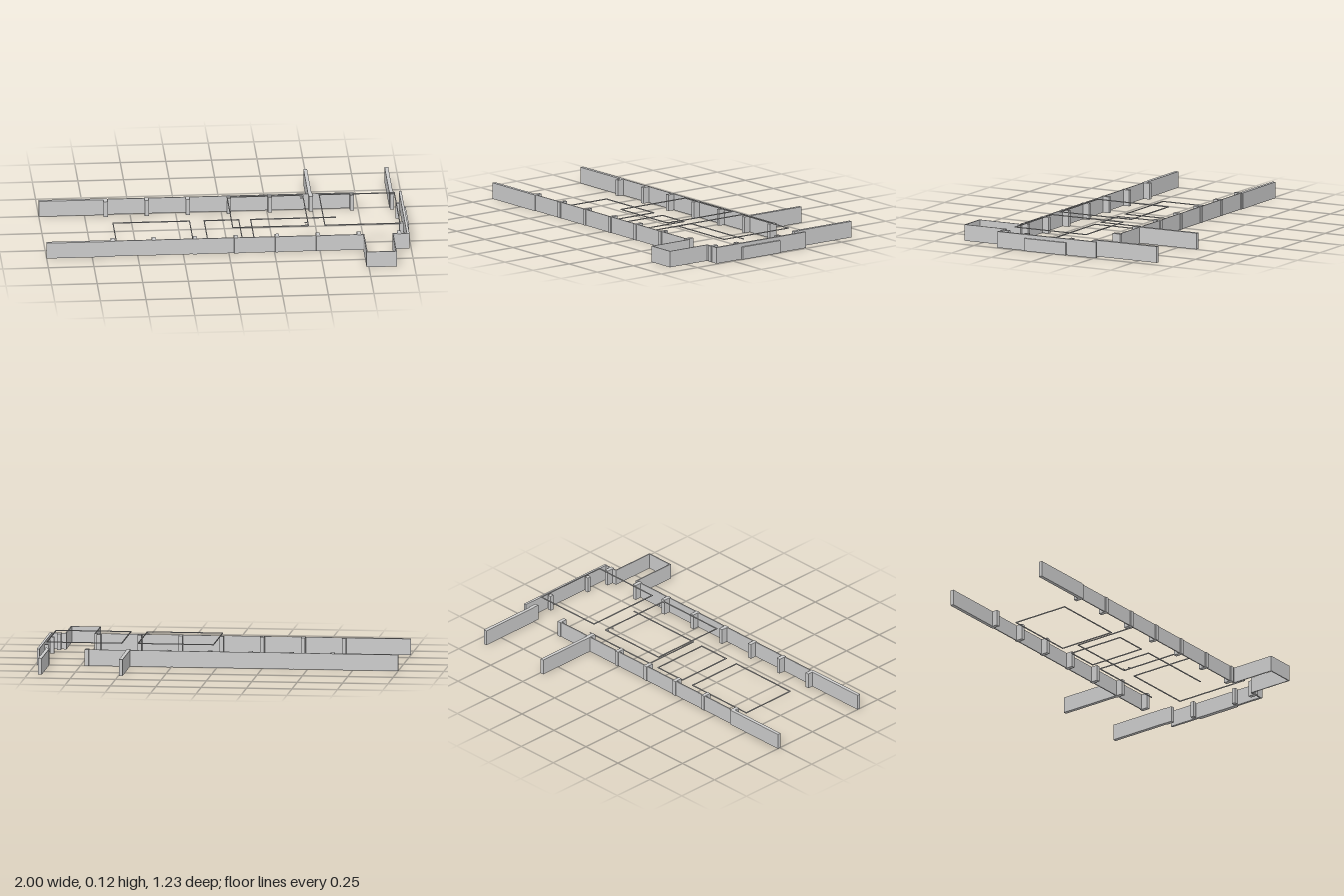
import * as THREE from 'three';

const H = 0.09; // wall height
const T = 0.006; // thin panel thickness
const L = 0.005; // marking line width

export function createModel() {
  const root = new THREE.Group();
  const mat = new THREE.MeshStandardMaterial({ color: 0xcccccc });

  // Box given by its limits on each axis
  function box(name, x0, x1, y0, y1, z0, z1, parent = root) {
    const mesh = new THREE.Mesh(new THREE.BoxGeometry(x1 - x0, y1 - y0, z1 - z0), mat);
    mesh.name = name;
    mesh.position.set((x0 + x1) / 2, (y0 + y1) / 2, (z0 + z1) / 2);
    parent.add(mesh);
  }
  // Upright panel along x or along z
  const wallX = (name, x0, x1, z, t = T) => box(name, x0, x1, 0, H, z - t / 2, z + t / 2);
  const wallZ = (name, x, z0, z1, t = T) => box(name, x - t / 2, x + t / 2, 0, H, z0, z1);

  // Rectangular outline of thin bars, optionally open towards +x
  function outline(name, x0, x1, z0, z1, y, open = false) {
    const g = new THREE.Group();
    g.name = name;
    box('backBar', x0, x1, y, y + L, z0, z0 + L, g);
    box('frontBar', x0, x1, y, y + L, z1 - L, z1, g);
    box('rightBar', x0, x0 + L, y, y + L, z0 + L, z1 - L, g);
    if (!open) box('leftBar', x1 - L, x1, y, y + L, z0 + L, z1 - L, g);
    root.add(g);
  }

  // Long walls: thick end section, then a row of thin panels
  const posts = Array.from({ length: 7 }, (_, i) => -0.635 + i * 0.225);
  for (const [side, z] of [['back', -0.255], ['front', 0.355]]) {
    wallX(side + 'EndWall', -1, -0.635, z, 0.02);
    for (let i = 0; i < 6; i++) wallX(side + 'Panel', posts[i], posts[i + 1], z);

    // Posts along the inner face
    const inward = z < 0 ? 1 : -1;
    for (const x of [...posts, 0.935]) {
      const a = z - inward * 0.008, b = z + inward * 0.04;
      box(side + 'Post', x - 0.011, x + 0.011, 0, H, Math.min(a, b), Math.max(a, b));
    }
  }

  // Wing walls at the back
  for (const x of [0.487, 0.932]) wallZ('wingWall', x, -0.615, -0.255, 0.02);

  // Alcove at the front
  wallX('alcoveJoinPanel', 0.715, 0.743, 0.355);
  wallZ('alcoveSideWall', 0.74, 0.355, 0.615);
  wallX('alcoveFrontWall', 0.737, 0.903, 0.612);
  wallZ('alcoveSideWall', 0.9, 0.355, 0.615);
  wallX('cornerPanel', 0.897, 0.98, 0.355);

  // End wall with its raised panel and posts
  wallZ('endWall', 0.983, -0.26, 0.36, 0.014);
  box('endWallPanel', 0.99, 1, 0, 0.07, -0.075, 0.185);
  for (const z of [-0.09, 0.195]) box('endPost', 0.945, 0.967, 0, H, z - 0.011, z + 0.011);

  // Outlines on the ground
  outline('groundOutline', -0.605, -0.18, -0.12, 0.22, 0);
  outline('smallGroundOutline', -0.105, 0.09, -0.12, 0.22, 0);
  outline('openGroundOutline', 0.15, 0.62, -0.12, 0.22, 0, true);

  // Raised outlines, the first with short tabs on its left edge
  outline('raisedOutline', 0.025, 0.445, -0.175, 0.275, 0.113);
  outline('raisedOutline', 0.53, 0.947, -0.175, 0.275, 0.113);
  for (const z of [-0.165, -0.13, 0.228, 0.265])
    box('outlineTab', 0.425, 0.445, 0.113, 0.113 + L, z - L / 2, z + L / 2);

  return root;
}
